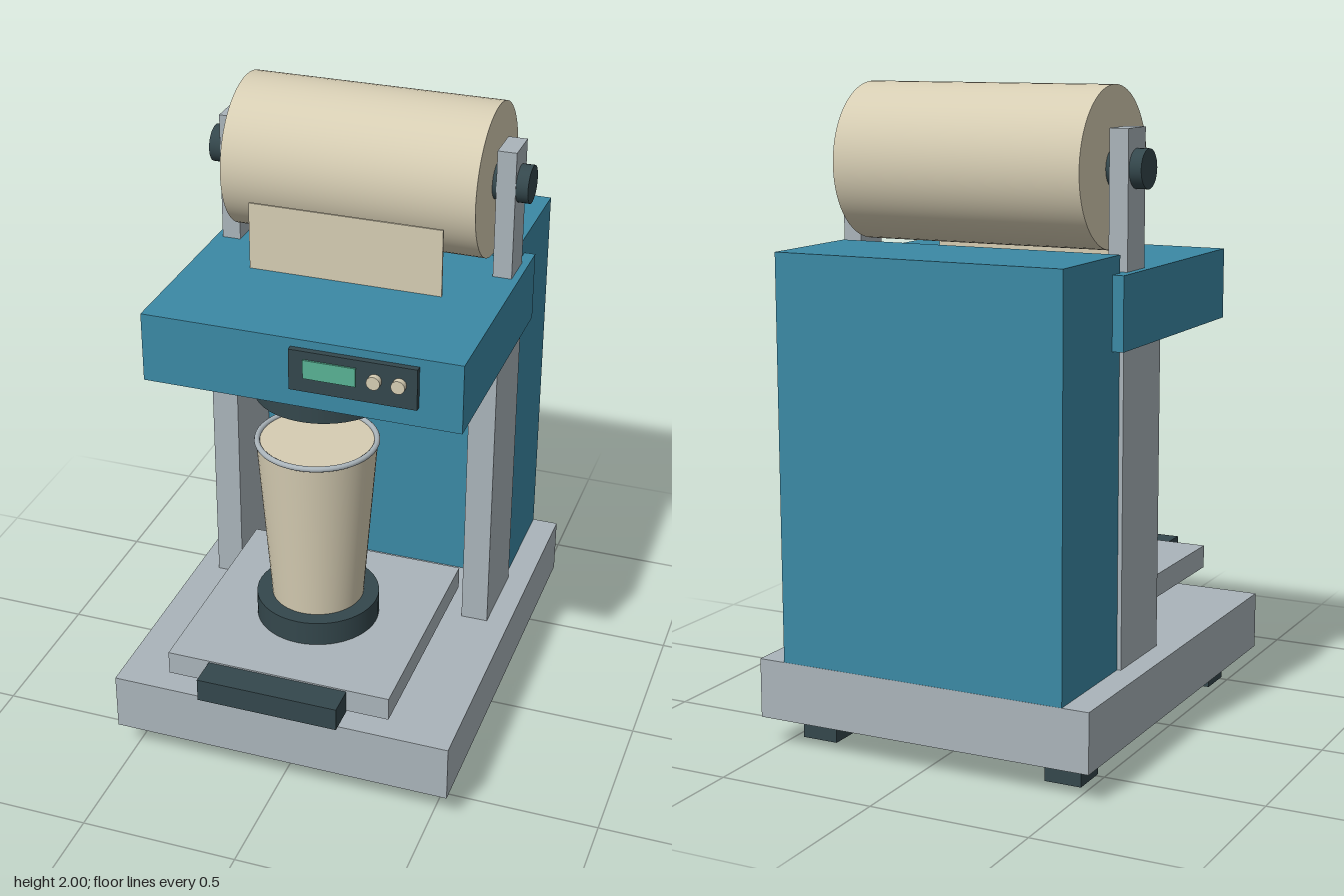
import * as THREE from 'three';

const mat = (name, color, extra = {}) => {
  const m = new THREE.MeshStandardMaterial({ color, ...extra });
  m.name = name;
  return m;
};

export function createModel() {
  const blue = mat('blue paint', 0x3b89a5);
  const metal = mat('grey metal', 0xaab4ba);
  const dark = mat('dark rubber', 0x34474c);
  const cream = mat('cream film', 0xd6cdb3);
  const green = mat('green display', 0x58b294);
  const model = new THREE.Group();
  model.name = 'cupSealingMachine';

  const add = (name, geometry, material, x = 0, y = 0, z = 0) => {
    const mesh = new THREE.Mesh(geometry, material);
    mesh.name = name;
    mesh.position.set(x, y, z);
    model.add(mesh);
    return mesh;
  };
  // Box given by its extents on each axis
  const box = (name, material, [x0, x1], [y0, y1], [z0, z1]) =>
    add(name, new THREE.BoxGeometry(x1 - x0, y1 - y0, z1 - z0), material,
      (x0 + x1) / 2, (y0 + y1) / 2, (z0 + z1) / 2);
  // Upright cylinder given by its bottom and top heights
  const disc = (name, material, rTop, rBottom, y0, y1, z) =>
    add(name, new THREE.CylinderGeometry(rTop, rBottom, y1 - y0, 48), material, 0, (y0 + y1) / 2, z);

  // Base, rear housing and head
  box('base', metal, [-0.55, 0.55], [0.09, 0.275], [-0.72, 0.625]);
  box('rearHousing', blue, [-0.465, 0.465], [0.275, 1.52], [-0.719, -0.338]);
  box('head', blue, [-0.5, 0.5], [1.245, 1.467], [-0.39, 0.4]);

  // Mirrored parts: feet, columns, roll brackets
  for (const s of [-1, 1]) {
    const side = (a, b) => (s > 0 ? [a, b] : [-b, -a]);
    box('frontFoot', dark, side(0.355, 0.473), [0, 0.09], [0.4, 0.517]);
    box('rearFoot', dark, side(0.355, 0.473), [0, 0.09], [-0.605, -0.488]);
    box('column', metal, side(0.39, 0.477), [0.275, 1.25], [-0.335, -0.063]);
    box('rollBracket', metal, side(0.417, 0.477), [1.46, 1.88], [-0.313, -0.19]);
  }

  // Film roll on its spindle, with the loose sheet feeding into the head
  add('filmRoll', new THREE.CylinderGeometry(0.24, 0.24, 0.808, 64), cream, 0, 1.762, -0.25)
    .rotation.z = Math.PI / 2;
  add('rollSpindle', new THREE.CylinderGeometry(0.059, 0.059, 1.03, 32), dark, 0, 1.762, -0.25)
    .rotation.z = Math.PI / 2;
  box('filmSheet', cream, [-0.31, 0.31], [1.46, 1.685], [-0.009, -0.002]);

  // Control panel with display and buttons
  box('controlPanel', dark, [-0.026, 0.368], [1.309, 1.441], [0.4, 0.42]);
  box('display', green, [0.02, 0.182], [1.355, 1.415], [0.42, 0.426]);
  for (const x of [0.24, 0.315])
    add('button', new THREE.CylinderGeometry(0.021, 0.021, 0.02, 24), cream, x, 1.384, 0.43)
      .rotation.x = Math.PI / 2;

  // Sealing plate under the head
  disc('sealingPlate', dark, 0.216, 0.216, 1.19, 1.25, 0.18);

  // Sliding tray with handle and cup holder
  box('tray', metal, [-0.36, 0.36], [0.344, 0.42], [-0.125, 0.625]);
  box('trayHandle', dark, [-0.225, 0.225], [0.34, 0.415], [0.622, 0.72]);
  disc('cupHolder', dark, 0.194, 0.194, 0.42, 0.5, 0.25);

  // Cup with rim
  disc('cup', cream, 0.187, 0.145, 0.5, 1.052, 0.25);
  add('cupRim', new THREE.TorusGeometry(0.184, 0.009, 10, 48), metal, 0, 1.053, 0.25)
    .rotation.x = Math.PI / 2;

  return model;
}
